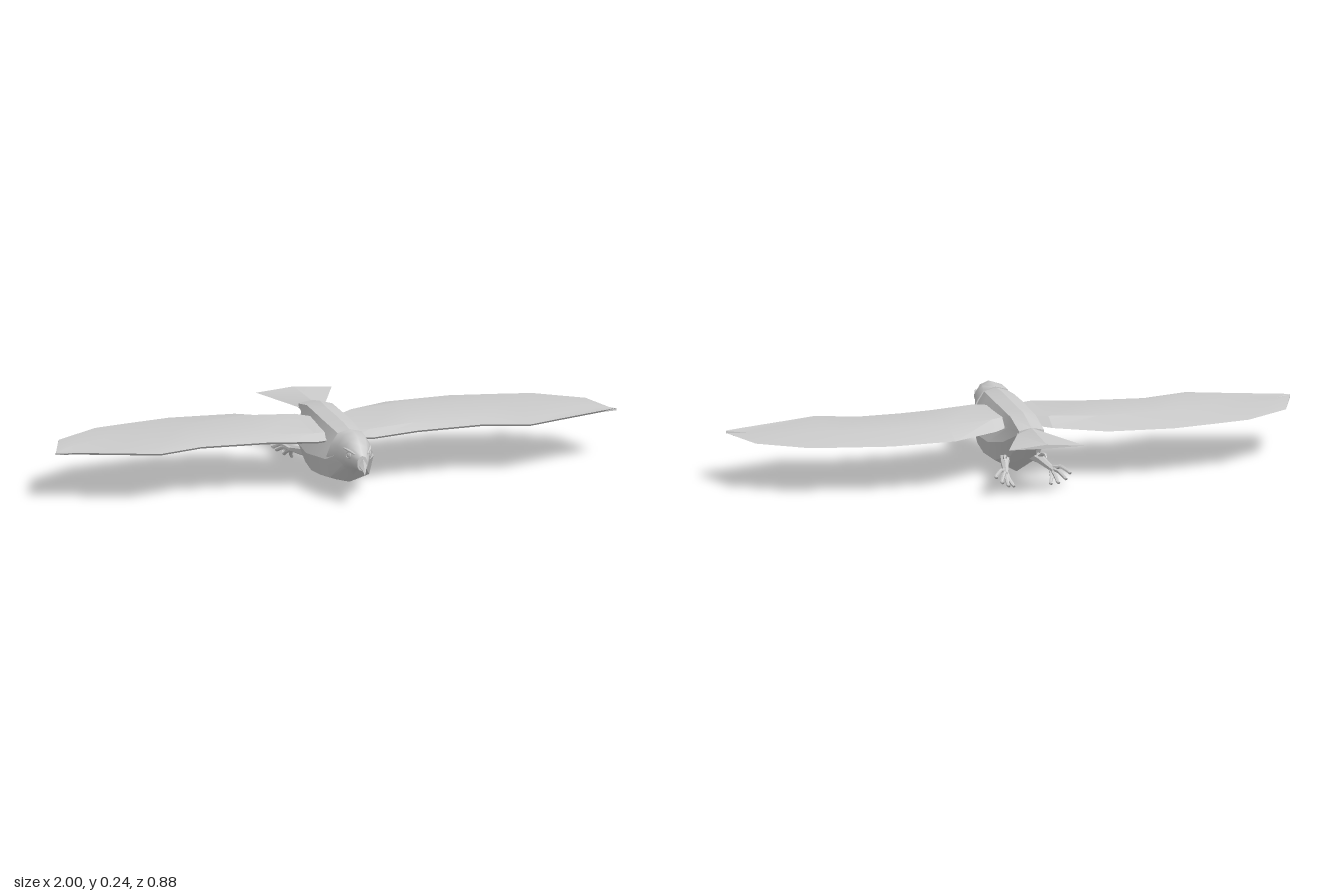
import * as THREE from 'three';
import { toCreasedNormals } from 'three/addons/utils/BufferGeometryUtils.js';

const material = new THREE.MeshStandardMaterial({ color: 0xcccccc });

// Closed skin through a list of rings of [x, y, z], capped at both ends
function loft(name, rings, crease = 0.45) {
  const n = rings[0].length, last = (rings.length - 1) * n, index = [];
  for (let i = 0; i < rings.length - 1; i++) {
    for (let j = 0; j < n; j++) {
      const a = i * n + j, b = i * n + (j + 1) % n;
      index.push(a, b, a + n, b, b + n, a + n);
    }
  }
  for (let j = 1; j < n - 1; j++) {
    index.push(0, j + 1, j, last, last + j, last + j + 1);
  }
  const geo = new THREE.BufferGeometry();
  geo.setAttribute('position', new THREE.Float32BufferAttribute(rings.flat(2), 3));
  geo.setIndex(index);
  const mesh = new THREE.Mesh(toCreasedNormals(geo, crease), material);
  mesh.name = name;
  return mesh;
}

// Symmetric ring from half a cross-section, listed top to bottom
function mirrorRing(z, half) {
  const right = half.map(([x, y]) => [x, y, z]);
  const left = half.slice(1, -1).reverse().map(([x, y]) => [-x, y, z]);
  return [...right, ...left];
}

// Rings moved to one side, keeping the faces outward
const toSide = (rings, s) => s > 0 ? rings
  : rings.map(ring => ring.map(([x, y, z]) => [-x, y, z]).reverse());

// Tapered limb running backwards through [x, y, z, radius]
function limb(name, path, s) {
  const rings = path.map(([x, y, z, r]) => Array.from({ length: 6 }, (_, k) => {
    const a = k * Math.PI / 3;
    return [x + r * Math.sin(a), y + r * Math.cos(a), z];
  }));
  return loft(name, toSide(rings, s), 0.8);
}

function createWing(s) {
  // x, leading z, ridge z, trailing z, ridge y
  const stations = [
    [0.03, 0.19, -0.03, -0.07, 0.203],
    [0.10, 0.207, -0.08, -0.14, 0.207],
    [0.27, 0.168, -0.115, -0.235, 0.206],
    [0.50, 0.157, -0.09, -0.25, 0.2],
    [0.66, 0.202, -0.06, -0.222, 0.196],
    [0.78, 0.16, -0.03, -0.198, 0.192],
    [0.94, 0.106, 0.03, -0.09, 0.187],
    [1.0, 0.086, 0.084, 0.08, 0.184],
  ];
  const rings = stations.map(([x, lead, ridge, trail, y]) => {
    const t = Math.min(1, (lead - trail) / 0.2);
    return [
      [x, 0.178, trail],
      [x, y, ridge],
      [x, y - 0.004 * t, lead - 0.05 * t],
      [x, 0.186, lead],
      [x, 0.177, lead - 0.012 * t],
    ];
  });
  return loft(s > 0 ? 'leftWing' : 'rightWing', toSide(rings, s), 0.3);
}

function createLeg(s) {
  const leg = new THREE.Group();
  leg.name = s > 0 ? 'leftLeg' : 'rightLeg';
  leg.add(limb('shank', [
    [0.05, 0.068, -0.07, 0.02], [0.065, 0.062, -0.12, 0.016],
    [0.08, 0.05, -0.19, 0.01], [0.085, 0.046, -0.21, 0.008],
  ], s));
  // Spread toes, each ending in a hooked claw
  const toes = [[0.13, 0.052, -0.255], [0.112, 0.036, -0.27], [0.088, 0.022, -0.262], [0.066, 0.016, -0.245]];
  for (const [x, y, z] of toes) {
    leg.add(limb('toe', [
      [0.08, 0.05, -0.185, 0.008],
      [(x + 0.085) / 2, y + 0.01, (z - 0.19) / 2, 0.007],
      [x, y - 0.006, z + 0.012, 0.006],
      [x, y - 0.008, z, 0.004],
      [x, y, z - 0.02, 0.001],
    ], s));
  }
  // Hind toe
  leg.add(limb('hindToe', [
    [0.06, 0.07, -0.105, 0.008], [0.068, 0.087, -0.13, 0.007],
    [0.072, 0.088, -0.145, 0.004], [0.074, 0.078, -0.158, 0.001],
  ], s));
  return leg;
}

function createEye(s) {
  const eye = new THREE.Group();
  eye.name = s > 0 ? 'leftEye' : 'rightEye';
  const rim = new THREE.Mesh(new THREE.TorusGeometry(0.011, 0.003, 5, 10), material);
  rim.name = 'eyeRim';
  const ball = new THREE.Mesh(new THREE.SphereGeometry(0.009, 10, 6), material);
  ball.name = 'eyeball';
  ball.scale.z = 0.4;
  eye.add(rim, ball);
  eye.position.set(s * 0.039, 0.179, 0.37);
  eye.rotation.y = s * 1.15;
  return eye;
}

export function createModel() {
  const bird = new THREE.Group();
  bird.name = 'bird';

  // Deep-bellied body
  bird.add(loft('body', [
    mirrorRing(0.33, [[0, 0.225], [0.025, 0.215], [0.045, 0.18], [0.043, 0.14], [0.03, 0.125], [0, 0.118]]),
    mirrorRing(0.25, [[0, 0.234], [0.04, 0.222], [0.06, 0.19], [0.086, 0.135], [0.07, 0.07], [0, 0.048]]),
    mirrorRing(0.18, [[0, 0.239], [0.045, 0.226], [0.068, 0.185], [0.1, 0.128], [0.083, 0.06], [0, 0.032]]),
    mirrorRing(0.08, [[0, 0.238], [0.047, 0.226], [0.07, 0.18], [0.106, 0.112], [0.088, 0.05], [0, 0.01]]),
    mirrorRing(-0.03, [[0, 0.235], [0.046, 0.224], [0.066, 0.18], [0.102, 0.115], [0.078, 0.05], [0, 0.005]]),
    mirrorRing(-0.12, [[0, 0.235], [0.045, 0.222], [0.055, 0.185], [0.072, 0.135], [0.045, 0.085], [0, 0.07]]),
    mirrorRing(-0.23, [[0, 0.207], [0.044, 0.198], [0.044, 0.187], [0.034, 0.176], [0.02, 0.166], [0, 0.16]]),
  ]));

  // Head with a soft neck collar
  bird.add(loft('head', [
    mirrorRing(0.41, [[0, 0.184], [0.011, 0.179], [0.018, 0.165], [0.018, 0.147], [0.012, 0.135], [0, 0.129]]),
    mirrorRing(0.375, [[0, 0.214], [0.025, 0.204], [0.037, 0.18], [0.033, 0.15], [0.02, 0.133], [0, 0.126]]),
    mirrorRing(0.345, [[0, 0.235], [0.03, 0.223], [0.05, 0.19], [0.045, 0.15], [0.03, 0.129], [0, 0.121]]),
    mirrorRing(0.30, [[0, 0.241], [0.035, 0.231], [0.057, 0.195], [0.062, 0.15], [0.045, 0.115], [0, 0.09]]),
    mirrorRing(0.25, [[0, 0.236], [0.042, 0.225], [0.066, 0.19], [0.083, 0.145], [0.06, 0.09], [0, 0.06]]),
  ], 0.8));

  // Hooked beak
  bird.add(loft('beak', [
    mirrorRing(0.438, [[0, 0.134], [0.003, 0.13], [0, 0.12]]),
    mirrorRing(0.43, [[0, 0.15], [0.007, 0.14], [0, 0.126]]),
    mirrorRing(0.418, [[0, 0.17], [0.013, 0.15], [0, 0.13]]),
    mirrorRing(0.395, [[0, 0.188], [0.019, 0.155], [0, 0.127]]),
  ], 0.8));

  // Fan tail
  bird.add(loft('tail', [
    mirrorRing(-0.19, [[0, 0.21], [0.038, 0.19], [0, 0.165]]),
    mirrorRing(-0.23, [[0, 0.207], [0.05, 0.187], [0, 0.161]]),
    mirrorRing(-0.437, [[0, 0.198], [0.135, 0.186], [0, 0.184]]),
  ]));

  for (const s of [1, -1]) {
    bird.add(createWing(s), createLeg(s), createEye(s));
    // Brow ridge above the eye
    bird.add(limb(s > 0 ? 'leftBrow' : 'rightBrow', [
      [0.022, 0.187, 0.397, 0.003], [0.036, 0.194, 0.372, 0.006], [0.047, 0.198, 0.345, 0.003],
    ], s));
  }
  return bird;
}
